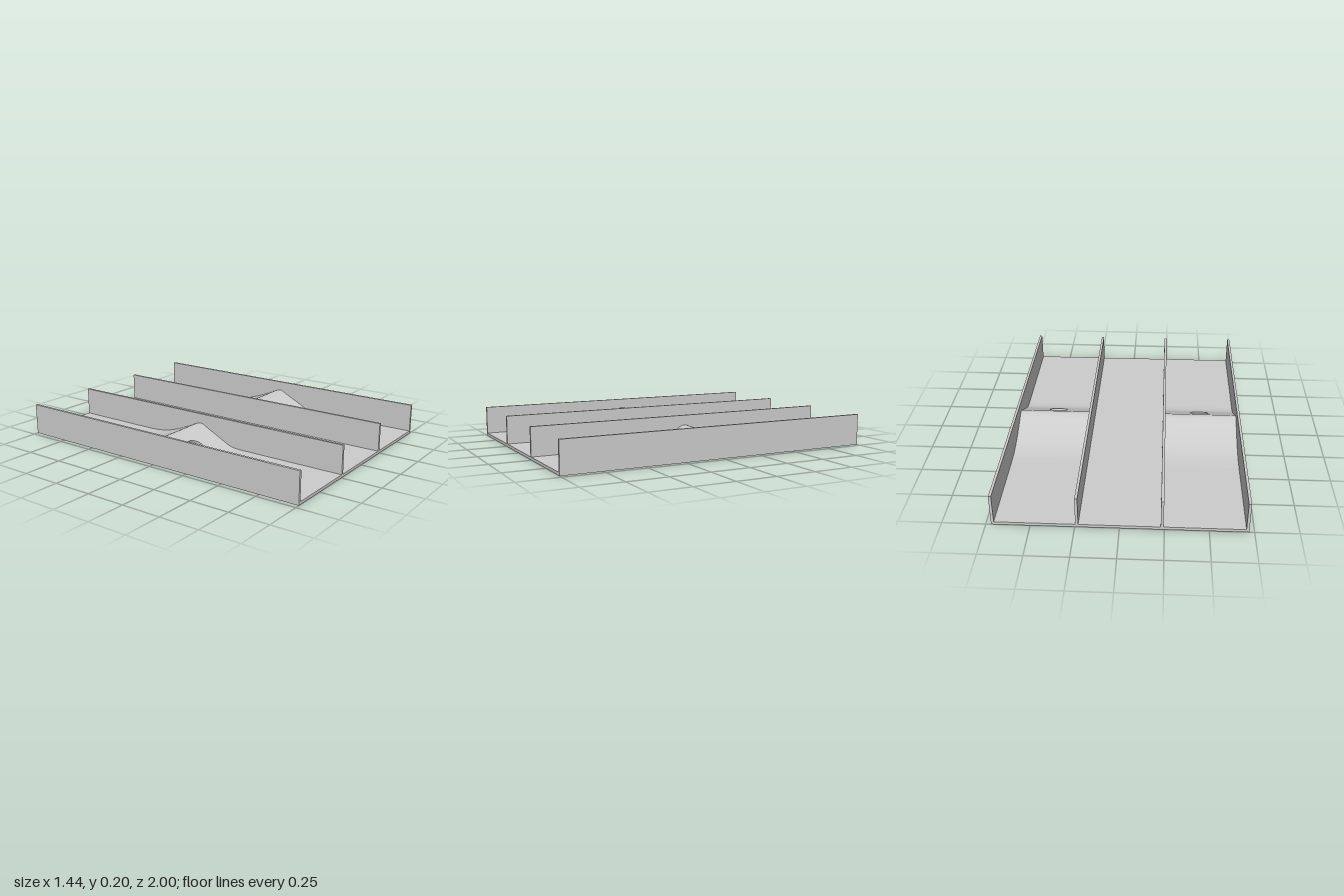
import * as THREE from 'three';
import { toCreasedNormals } from 'three/addons/utils/BufferGeometryUtils.js';

const BASE = 0.018;        // floor thickness
const LANE_X = 0.475;      // lane centre
const LANE_W = 0.464;      // lane width between walls
const SKIN = 0.018;        // ramp sheet thickness

const grey = new THREE.MeshStandardMaterial({ color: 0xcccccc });
grey.name = 'light grey';

function addMesh(parent, name, geometry, x = 0, y = 0, z = 0) {
  const mesh = new THREE.Mesh(geometry, grey);
  mesh.name = name;
  mesh.position.set(x, y, z);
  parent.add(mesh);
  return mesh;
}

// Curved sheet across a lane, following (z, y) points
function sheet(points, divisions) {
  const top = new THREE.SplineCurve(points.map(([z, y]) => new THREE.Vector2(z, y))).getPoints(divisions);
  const under = top.map((p) => new THREE.Vector2(p.x, Math.max(p.y - SKIN * 1.1, 0.006))).reverse();
  const geometry = new THREE.ExtrudeGeometry(new THREE.Shape([...top, ...under]), {
    depth: LANE_W, bevelEnabled: false,
  });
  geometry.rotateY(-Math.PI / 2);
  geometry.translate(LANE_W / 2, 0, 0);
  return toCreasedNormals(geometry, 0.6);
}

function createRamp() {
  const ramp = new THREE.Group();
  ramp.name = 'ramp';

  // Straight slope with the round hole
  const [z0, y0, z1, y1] = [0.07, 0.102, 0.2, 0.038];
  const angle = Math.atan2(y0 - y1, z1 - z0);
  const half = Math.hypot(y0 - y1, z1 - z0) / 2;
  const w = LANE_W / 2;
  const shape = new THREE.Shape([
    new THREE.Vector2(-w, -half), new THREE.Vector2(w, -half),
    new THREE.Vector2(w, half), new THREE.Vector2(-w, half),
  ]);
  shape.holes.push(new THREE.Path().absarc(0, 0, 0.059, 0, Math.PI * 2, true));
  const plate = new THREE.ExtrudeGeometry(shape, { depth: SKIN, bevelEnabled: false, curveSegments: 32 });
  plate.translate(0, 0, -SKIN);
  const slope = addMesh(ramp, 'holedSlope', toCreasedNormals(plate, 0.6), 0, (y0 + y1) / 2, (z0 + z1) / 2);
  slope.rotation.x = angle - Math.PI / 2;

  // Foot sweeping out to the floor
  addMesh(ramp, 'frontFoot', sheet([[z1, y1], [0.225, 0.028], [0.26, 0.0205], [0.3, BASE]], 16));

  // Rounded crest and long back run
  addMesh(ramp, 'crestAndBack', sheet([
    [z0, y0], [0.04, 0.117], [0.018, 0.129], [0, 0.134], [-0.02, 0.131], [-0.05, 0.12],
    [-0.1, 0.097], [-0.17, 0.067], [-0.25, 0.04], [-0.33, 0.024], [-0.42, BASE],
  ], 60));
  return ramp;
}

export function createModel() {
  const model = new THREE.Group();
  model.name = 'twoLaneTray';

  // Floor
  addMesh(model, 'floor', new THREE.BoxGeometry(1.44, BASE, 2), 0, BASE / 2, 0);

  for (const side of [-1, 1]) {
    // Outer and inner lane walls
    addMesh(model, 'outerWall', new THREE.BoxGeometry(0.016, 0.195 - BASE, 2), side * 0.712, (0.195 + BASE) / 2, 0);
    addMesh(model, 'innerWall', new THREE.BoxGeometry(0.016, 0.195 - BASE, 2), side * 0.238, (0.195 + BASE) / 2, 0);

    // Ramp in each lane
    const ramp = createRamp();
    ramp.position.x = side * LANE_X;
    model.add(ramp);
  }
  return model;
}
